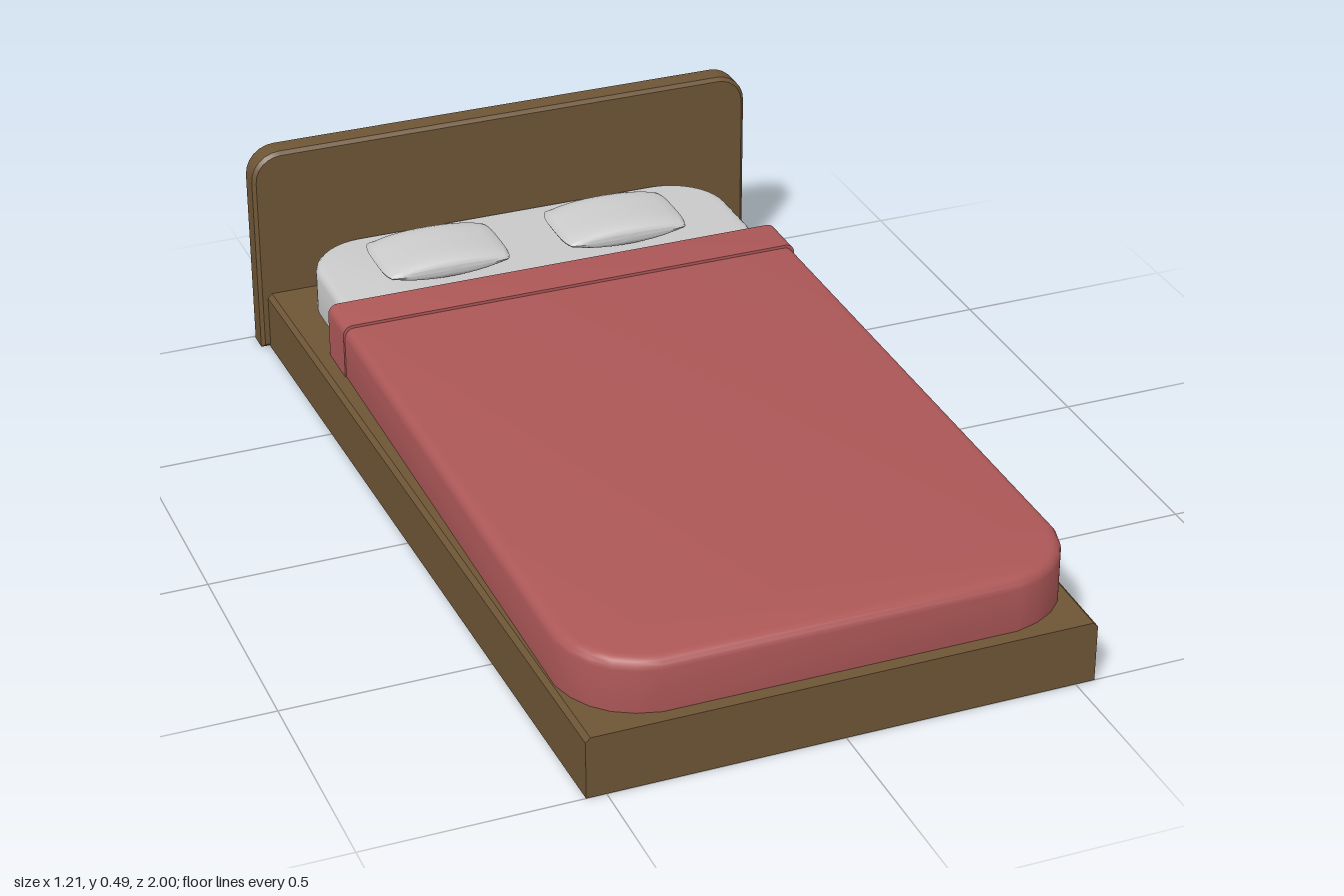
import * as THREE from 'three';
import { toCreasedNormals } from 'three/addons/utils/BufferGeometryUtils.js';

const wood = new THREE.MeshStandardMaterial({ color: 0x6e5536 });
const red = new THREE.MeshStandardMaterial({ color: 0xad5757 });
const linen = new THREE.MeshStandardMaterial({ color: 0xcccccc });

// Rectangle with separate corner radii for its lower (rLow) and upper (rHigh) edge
function roundedRect(x0, x1, y0, y1, rLow, rHigh) {
  const s = new THREE.Shape();
  s.moveTo(x0 + rLow, y0);
  s.lineTo(x1 - rLow, y0);
  if (rLow) s.quadraticCurveTo(x1 - rLow * 0.15, y0 + rLow * 0.15, x1, y0 + rLow);
  s.lineTo(x1, y1 - rHigh);
  if (rHigh) s.absarc(x1 - rHigh, y1 - rHigh, rHigh, 0, Math.PI / 2);
  s.lineTo(x0 + rHigh, y1);
  if (rHigh) s.absarc(x0 + rHigh, y1 - rHigh, rHigh, Math.PI / 2, Math.PI);
  s.lineTo(x0, y0 + rLow);
  if (rLow) s.quadraticCurveTo(x0 + rLow * 0.15, y0 + rLow * 0.15, x0 + rLow, y0);
  return s;
}

// Extrusion whose bevel stays inside the outline and the depth
function extrude(shape, depth, bevel, segments, curveSegments) {
  return new THREE.ExtrudeGeometry(shape, {
    depth: depth - 2 * bevel, curveSegments,
    bevelEnabled: bevel > 0, bevelSize: bevel, bevelThickness: bevel,
    bevelOffset: -bevel, bevelSegments: segments,
  }).translate(0, 0, bevel);
}

// Plan outline (x, -z) extruded upwards from y0 to y1
function slab(shape, y0, y1, bevel, segments) {
  return toCreasedNormals(
    extrude(shape, y1 - y0, bevel, segments, 5).rotateX(-Math.PI / 2).translate(0, y0, 0), 0.6);
}

// Cushion: a box whose outline is rounded in plan and bulges in the middle
function pillowGeometry(width, height, depth) {
  const g = new THREE.BoxGeometry(2, 2, 2, 12, 4, 12);
  const p = g.attributes.position;
  for (let i = 0; i < p.count; i++) {
    const u = p.getX(i), v = p.getY(i), w = p.getZ(i);
    const bulge = (0.4 + 0.6 * (1 - u * u)) * (1 - 0.3 * w ** 6);
    const rim = 1 - 0.08 * v * v;
    p.setXYZ(i,
      u * rim * (1 - 0.07 * w ** 4) * width / 2,
      v * bulge * height / 2,
      w * rim * (1 - 0.08 * u ** 4) * depth / 2);
  }
  return toCreasedNormals(g.toNonIndexed(), 0.7);
}

export function createModel() {
  const bed = new THREE.Group();
  const add = (name, geometry, material) => {
    const mesh = new THREE.Mesh(geometry, material);
    mesh.name = name;
    bed.add(mesh);
    return mesh;
  };

  // Platform, tapering towards the foot, with a chamfered top on the long sides
  const base = new THREE.BufferGeometry();
  const section = (z, h) => [[-h, 0], [h, 0], [h, 0.127], [h - 0.01, 0.137], [0.01 - h, 0.137], [-h, 0.127]]
    .flatMap(([x, y]) => [x, y, z]);
  base.setAttribute('position', new THREE.Float32BufferAttribute(
    [...section(1, 0.542), ...section(-0.95, 0.583)], 3));
  const faces = [];
  for (let i = 0; i < 6; i++) {
    const j = (i + 1) % 6;
    faces.push(i, i + 6, j, j, i + 6, j + 6);
    if (i > 0 && i < 5) faces.push(0, i, j, 6, j + 6, i + 6);
  }
  base.setIndex(faces);
  const baseFlat = base.toNonIndexed();
  baseFlat.computeVertexNormals();
  add('platform', baseFlat, wood);

  // Headboard
  const board = extrude(roundedRect(-0.603, 0.603, 0, 0.49, 0, 0.068), 0.062, 0.008, 1, 3);
  add('headboard', toCreasedNormals(board, 0.3).translate(0, 0, -1), wood);

  // Mattress, with rounded corners at both ends
  add('mattress', slab(roundedRect(-0.5, 0.5, -0.93, 0.938, 0.14, 0.14), 0.1, 0.245, 0.018, 3), linen);

  // Blanket, rounded at the foot and square under the fold
  add('blanket', slab(roundedRect(-0.533, 0.54, -0.97, 0.52, 0.16, 0), 0.1, 0.256, 0.024, 4), red);

  // Turned-over strip at the head of the blanket
  const fold = extrude(roundedRect(-0.536, 0.543, 0.1, 0.262, 0, 0.022), 0.11, 0, 1, 3);
  add('blanketFold', toCreasedNormals(fold, 0.6).translate(0, 0, -0.61), red);

  // Pillows
  for (const [name, x] of [['rightPillow', -0.23], ['leftPillow', 0.2]]) {
    add(name, pillowGeometry(0.3, 0.054, 0.2), linen).position.set(x, 0.27, -0.752);
  }
  return bed;
}
